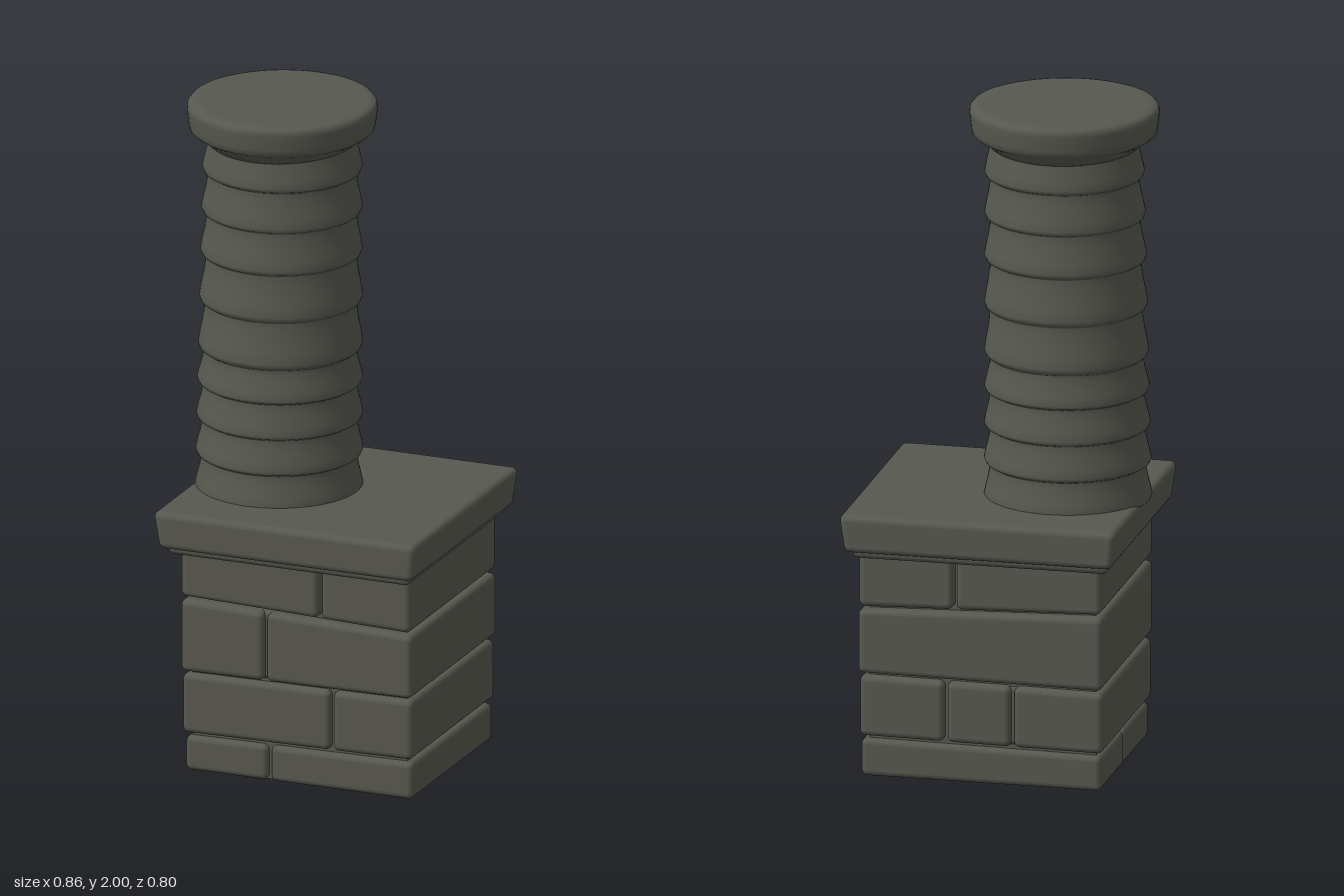
import * as THREE from 'three';
import { RoundedBoxGeometry } from 'three/addons/geometries/RoundedBoxGeometry.js';

const stone = new THREE.MeshStandardMaterial({ color: 0x57584f });
stone.name = 'dark stone';

function add(group, name, geometry) {
  const mesh = new THREE.Mesh(geometry, stone);
  mesh.name = name;
  group.add(mesh);
  return mesh;
}

// Move every vertex by a rule, keeping the existing soft normals
function bend(geometry, rule) {
  const p = geometry.attributes.position;
  const v = new THREE.Vector3();
  for (let i = 0; i < p.count; i++) {
    v.fromBufferAttribute(p, i);
    rule(v);
    p.setXYZ(i, v.x, v.y, v.z);
  }
  return geometry;
}

function block(x0, x1, y0, y1, z0, z1, radius) {
  return new RoundedBoxGeometry(x1 - x0, y1 - y0, z1 - z0, 4, radius)
    .translate((x0 + x1) / 2, (y0 + y1) / 2, (z0 + z1) / 2);
}

// Mortar beds: height and slope along x
const beds = [[0, 0], [0.115, 0.012], [0.308, 0.012], [0.527, -0.03], [0.7, 0]];
// Outer faces of each course: left, right, back, front
const courses = [
  [-0.335, 0.385, -0.302, 0.306],
  [-0.342, 0.387, -0.312, 0.313],
  [-0.342, 0.39, -0.32, 0.326],
  [-0.34, 0.387, -0.323, 0.33],
];
const IN = 0.022; // groove depth
// Bricks per course: x0, x1, z0, z1 (null reaches the outer face, 'in' stops a groove short)
const bricks = [
  [[null, -0.07, 0, null], [-0.07, null, null, null], [null, null, null, 0]],
  [[null, 0.13, 'in', null], [0.13, null, 'in', null],
    [null, -0.07, null, 'in'], [-0.07, 0.13, null, 'in'], [0.13, null, null, 'in']],
  [[null, -0.075, 'in', null], [-0.075, null, 'in', null], [null, null, null, 'in']],
  [[null, 0.1, null, null], [0.1, null, null, null]],
];

function buildBase() {
  const base = new THREE.Group();
  base.name = 'brick base';
  add(base, 'mortar core', new THREE.BoxGeometry(0.68, 0.7, 0.57).translate(0.023, 0.352, 0.002));
  const gap = 0.005;
  bricks.forEach((row, r) => {
    const [left, right, back, front] = courses[r];
    const [h0, s0] = beds[r], [h1, s1] = beds[r + 1];
    const y0 = h0 + (r ? gap : 0), y1 = h1 - gap;
    for (const [a, b, c, d] of row) {
      const x0 = a === null ? left : a + gap;
      const x1 = b === null ? right : b - gap;
      const z0 = c === null ? back : c === 'in' ? back + IN : c + gap;
      const z1 = d === null ? front : d === 'in' ? front - IN : d - gap;
      const g = block(x0, x1, y0, y1, z0, z1, 0.018);
      bend(g, (v) => {
        const t = (v.y - y0) / (y1 - y0);
        v.y += v.x * THREE.MathUtils.lerp(s0, s1, t);
      });
      add(base, 'brick', g);
    }
  });
  return base;
}

function buildSlab() {
  const slab = new THREE.Group();
  slab.name = 'slab';
  // Main plate narrows a little toward its underside
  const plate = bend(block(-0.4, 0.43, 0.7, 0.817, -0.4, 0.4, 0.02), (v) => {
    const k = 1 - 0.035 * (1 - (v.y - 0.7) / 0.117);
    v.x = 0.015 + (v.x - 0.015) * k;
    v.z *= k;
  });
  add(slab, 'plate', plate);
  add(slab, 'under lip', block(-0.368, 0.398, 0.678, 0.74, -0.362, 0.362, 0.018));
  return slab;
}

function buildPipe() {
  const pipe = new THREE.Group();
  pipe.name = 'chimney pipe';
  // Overlapping bands, each widest at its foot
  const rings = [0.8, 0.91, 1.02, 1.13, 1.235, 1.38, 1.525, 1.655, 1.78, 1.9];
  const pts = [];
  for (let i = 0; i < rings.length - 1; i++) {
    const y0 = rings[i], h = rings[i + 1] - y0;
    const r = 0.243 - 0.012 * (y0 - 0.8);
    for (const [t, d] of [[0, -0.012], [0.05, -0.001], [0.14, 0.003], [0.35, -0.002], [0.6, -0.009], [0.85, -0.014], [0.98, -0.014]]) {
      pts.push(new THREE.Vector2(r + d, y0 + t * h));
    }
  }
  const body = bend(new THREE.LatheGeometry(pts, 64), (v) => {
    v.x += -0.166 + 0.011 * (v.y - 0.8);
  });
  add(pipe, 'banded pipe', body);

  // Round lid with a coved underside
  const lid = [[0, 1.87], [0.215, 1.87], [0.222, 1.885], [0.238, 1.895], [0.262, 1.908], [0.27, 1.916], [0.273, 1.93],
    [0.278, 1.975], [0.276, 1.988], [0.268, 1.996], [0.255, 1.999], [0.24, 2], [0, 2]];
  const cap = new THREE.LatheGeometry(lid.map(([x, y]) => new THREE.Vector2(x, y)), 64);
  cap.scale(1, 1, 1.02).translate(-0.155, 0, 0);
  add(pipe, 'lid', cap);
  return pipe;
}

export function createModel() {
  const model = new THREE.Group();
  model.name = 'chimney';
  model.add(buildBase(), buildSlab(), buildPipe());
  return model;
}
